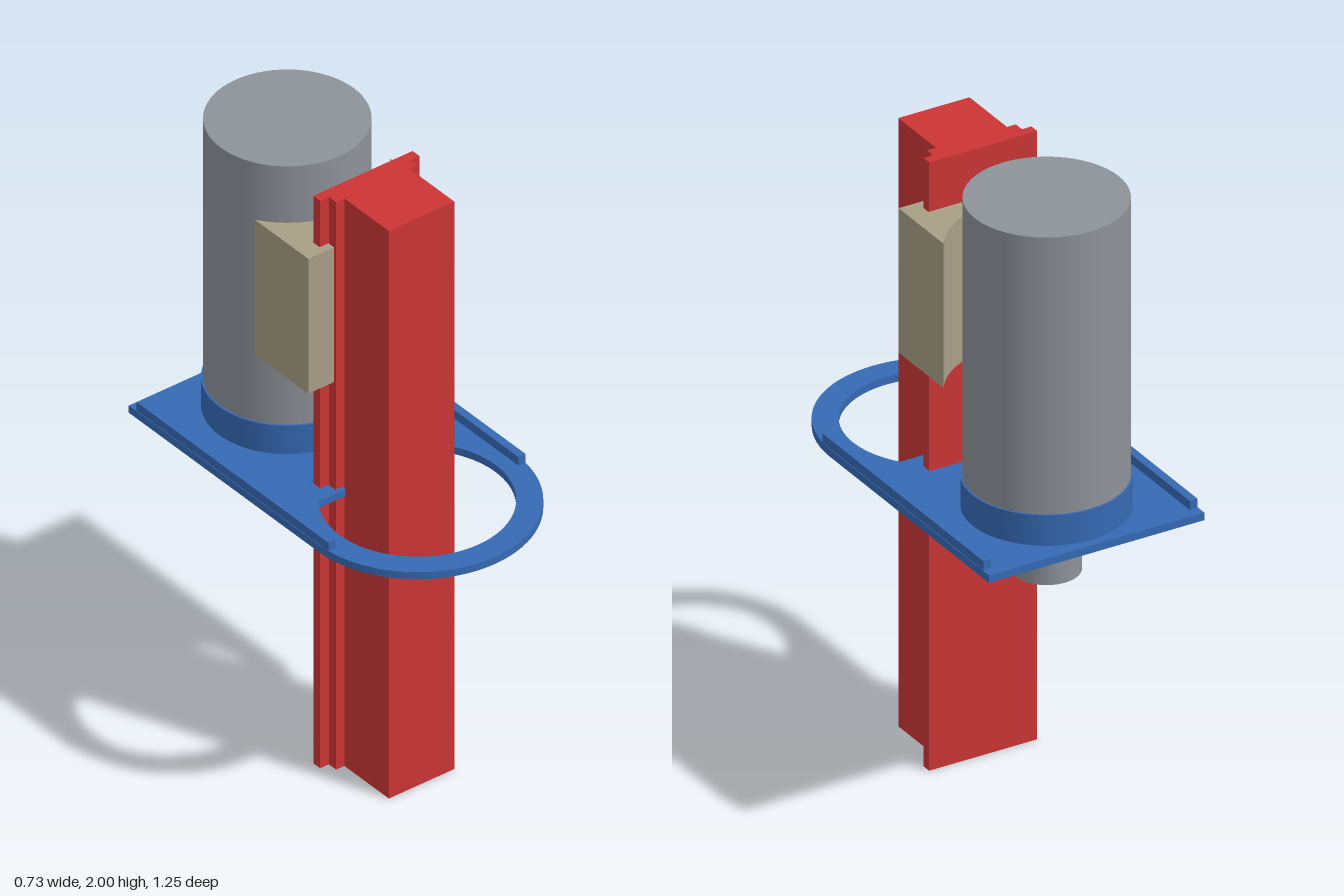
import * as THREE from 'three';
import { toCreasedNormals } from 'three/addons/utils/BufferGeometryUtils.js';

const PI = Math.PI;
const MOTOR_Z = -0.347;
const mat = (color) => new THREE.MeshStandardMaterial({ color });
const blue = mat(0x366ab5), red = mat(0xcc3535), tan = mat(0xa89f87), grey = mat(0x8e9299);

// Plan shapes are drawn in (x, -z) and extruded upwards between two heights.
function slab(name, shape, y0, y1, material) {
  const geo = new THREE.ExtrudeGeometry(shape, { depth: y1 - y0, bevelEnabled: false, curveSegments: 48 });
  geo.rotateX(-PI / 2);
  geo.translate(0, y0, 0);
  const mesh = new THREE.Mesh(toCreasedNormals(geo, 0.5), material);
  mesh.name = name;
  return mesh;
}

function cylinder(name, r, y0, y1, material) {
  const mesh = new THREE.Mesh(new THREE.CylinderGeometry(r, r, y1 - y0, 64), material);
  mesh.position.set(0, (y0 + y1) / 2, MOTOR_Z);
  mesh.name = name;
  return mesh;
}

const circle = (x, z, r) => new THREE.Path().absarc(x, -z, r, 0, 2 * PI, true);

// Full outline from the right half, given as [x, z] pairs
function symmetric(half) {
  const left = half.map(([x, z]) => [-x, z]).reverse();
  return new THREE.Shape([...half, ...left].map(([x, z]) => new THREE.Vector2(x, -z)));
}

// Plate outline with the front ring, rail notch, slit and shaft opening
function plateShape() {
  const s = new THREE.Shape();
  s.moveTo(-0.363, 0.625);
  s.lineTo(-0.363, -0.26);
  s.absarc(0, -0.26, 0.363, PI, 2 * PI, false);
  s.lineTo(0.363, 0.625);
  s.closePath();

  const notch = [[0.13, -0.09], [0.13, -0.075], [0.155, -0.075], [0.155, -0.042],
    [0.185, -0.042], [0.185, 0.003], [0.01, 0.003]];
  const a = Math.asin(0.17 / 0.285), g = Math.asin(0.01 / 0.12);
  const h = new THREE.Path();
  h.absarc(0, -0.26, 0.285, PI - a, 2 * PI + a, false);
  notch.forEach(([x, y]) => h.lineTo(x, y));
  h.absarc(0, -MOTOR_Z, 0.12, -PI / 2 + g, 1.5 * PI - g, false);
  notch.slice().reverse().forEach(([x, y]) => h.lineTo(-x, y));
  h.closePath();
  s.holes.push(h);

  for (const side of [-1, 1]) s.holes.push(circle(side * 0.327, -0.2, 0.013));
  return s;
}

export function createModel() {
  const model = new THREE.Group();

  // Mounting plate: lower layer carries blind screw holes
  const plate = new THREE.Group();
  plate.name = 'mountingPlate';
  const lower = plateShape();
  for (const side of [-1, 1]) {
    for (const [x, z] of [[0.3, -0.47], [0.15, -0.56], [0.3, 0.05], [0.275, 0.433]]) {
      lower.holes.push(circle(side * x, z, 0.018));
    }
  }
  plate.add(slab('plateUnderside', lower, 0.965, 0.978, blue));
  plate.add(slab('plateTop', plateShape(), 0.978, 0.99, blue));
  model.add(plate);

  // Raised strips along both sides of the plate
  for (const side of [-1, 1]) {
    const strip = new THREE.Mesh(new THREE.BoxGeometry(0.026, 0.035, 0.895), blue);
    strip.position.set(side * 0.348, 1.0025, -0.143);
    strip.name = side > 0 ? 'leftStrip' : 'rightStrip';
    model.add(strip);
  }

  // Split clamp ring around the foot of the motor
  const gap = 0.04;
  const ring = new THREE.Shape();
  ring.absarc(0, -MOTOR_Z, 0.249, -PI / 2 + gap, 1.5 * PI - gap, false);
  ring.absarc(0, -MOTOR_Z, 0.24, 1.5 * PI - gap, -PI / 2 + gap, true);
  ring.closePath();
  model.add(slab('clampRing', ring, 0.985, 1.09, blue));

  // Clamp ears with a cross hole
  const ear = new THREE.Shape();
  ear.moveTo(0.03, 1.047);
  ear.lineTo(0.115, 1.047);
  ear.lineTo(0.115, 1.09);
  ear.lineTo(0.03, 1.09);
  ear.closePath();
  ear.holes.push(new THREE.Path().absarc(0.065, 1.07, 0.013, 0, 2 * PI, true));
  const earGeo = new THREE.ExtrudeGeometry(ear, { depth: 0.05, bevelEnabled: false });
  earGeo.rotateY(PI / 2);
  for (const side of [-1, 1]) {
    const mesh = new THREE.Mesh(earGeo, blue);
    mesh.position.x = side > 0 ? 0.01 : -0.06;
    mesh.name = side > 0 ? 'leftClampEar' : 'rightClampEar';
    model.add(mesh);
  }

  // Motor, collar and pulley
  model.add(cylinder('motor', 0.243, 0.99, 2, grey));
  model.add(cylinder('shaftCollar', 0.065, 0.9, 0.99, grey));
  model.add(cylinder('pulley', 0.102, 0.78, 0.912, grey));

  // Vertical rail with a stepped flange at its back
  const rail = symmetric([[0.12, 0.28], [0.12, 0.072], [0.15, 0.072], [0.15, 0.038],
    [0.182, 0.038], [0.182, 0.006]]);
  model.add(slab('rail', rail, 0, 2, red));

  // Sliding bracket: hooks round the flange, hollowed to the motor
  const r = 0.297, end = Math.asin(0.248 / r);
  const half = [];
  for (let i = 0; i <= 24; i++) {
    const a = (i / 24) * end;
    half.push([r * Math.sin(a), MOTOR_Z + 0.001 + r * Math.cos(a)]);
  }
  half[0][0] = 0.0005;
  half.push([0.248, 0.067], [0.154, 0.067], [0.154, 0.041], [0.186, 0.041], [0.186, 0.003]);
  // Reverse so that the outline runs from the flange channel to the hollow
  model.add(slab('motorBracket', symmetric(half.reverse()), 1.365, 1.84, tan));

  return model;
}
